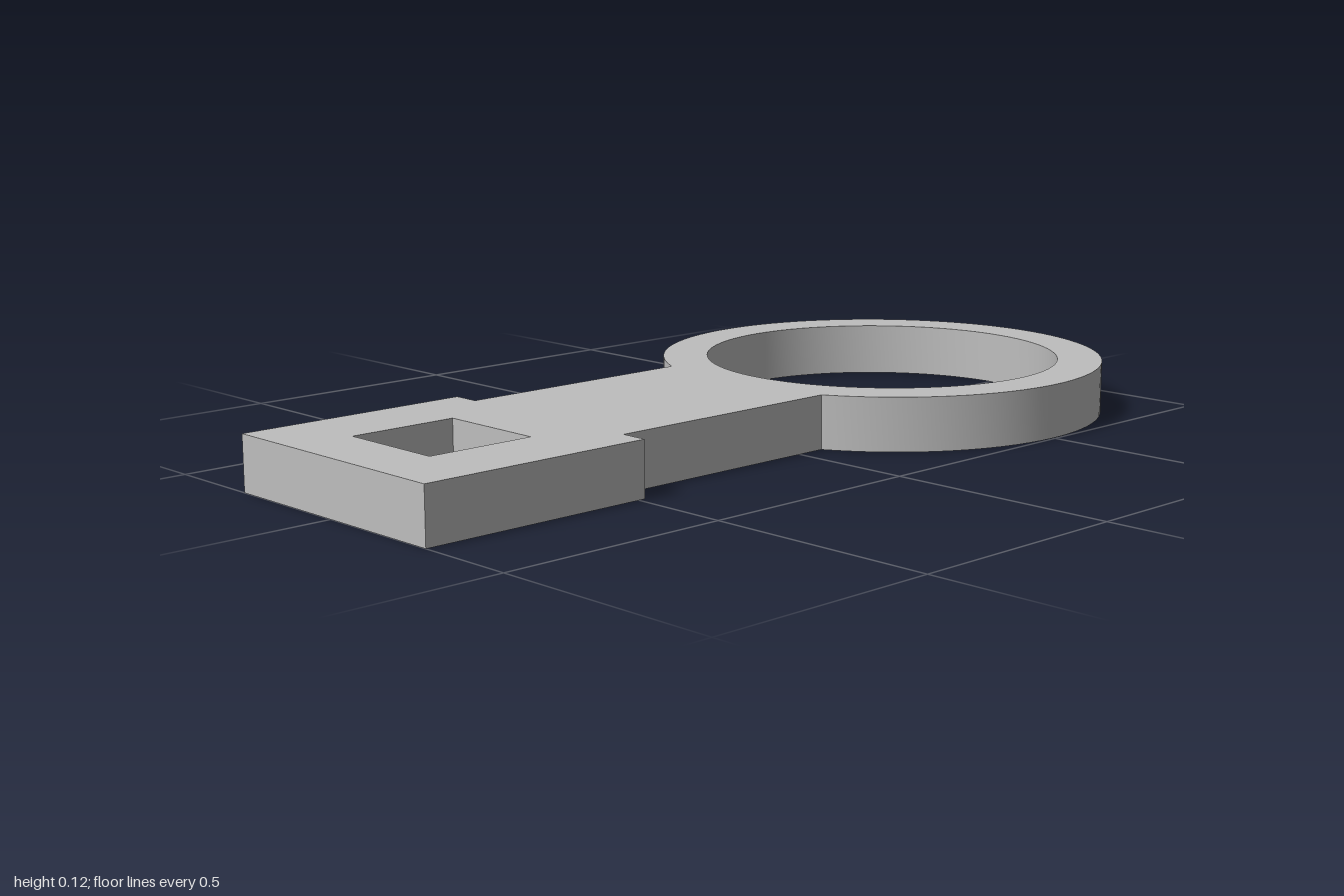
import * as THREE from 'three';
import { toCreasedNormals } from 'three/addons/utils/BufferGeometryUtils.js';

const THICKNESS = 0.116;
const RING = { x: 0.505, outer: 0.495, inner: 0.396 };
const NECK_HALF = 0.227;
const PLATE = { left: -1, right: -0.485, half: 0.286 };
const SLOT = { left: -0.863, right: -0.625, half: 0.12 };

export function createModel() {
  const grey = new THREE.MeshStandardMaterial({ color: 0xbebebe });
  grey.name = 'grey';

  // Outline: end plate, narrower neck, then round the ring and back
  const join = Math.asin(NECK_HALF / RING.outer);
  const outline = new THREE.Shape();
  outline.moveTo(PLATE.left, PLATE.half);
  outline.lineTo(PLATE.left, -PLATE.half);
  outline.lineTo(PLATE.right, -PLATE.half);
  outline.lineTo(PLATE.right, -NECK_HALF);
  outline.absarc(RING.x, 0, RING.outer, -Math.PI + join, Math.PI - join, false);
  outline.lineTo(PLATE.right, NECK_HALF);
  outline.lineTo(PLATE.right, PLATE.half);
  outline.closePath();

  // Round opening of the ring
  const opening = new THREE.Path();
  opening.absarc(RING.x, 0, RING.inner, 0, Math.PI * 2, true);

  // Square slot in the end plate
  const slot = new THREE.Path();
  slot.moveTo(SLOT.left, -SLOT.half);
  slot.lineTo(SLOT.left, SLOT.half);
  slot.lineTo(SLOT.right, SLOT.half);
  slot.lineTo(SLOT.right, -SLOT.half);
  slot.closePath();
  outline.holes.push(opening, slot);

  // Lay the profile flat; smooth the curved walls, keep the edges sharp
  const geometry = new THREE.ExtrudeGeometry(outline, {
    depth: THICKNESS, bevelEnabled: false, curveSegments: 48,
  });
  geometry.rotateX(-Math.PI / 2);

  const body = new THREE.Mesh(toCreasedNormals(geometry, Math.PI / 6), grey);
  body.name = 'ringBracket';

  const group = new THREE.Group();
  group.name = 'bracket';
  group.add(body);
  return group;
}
